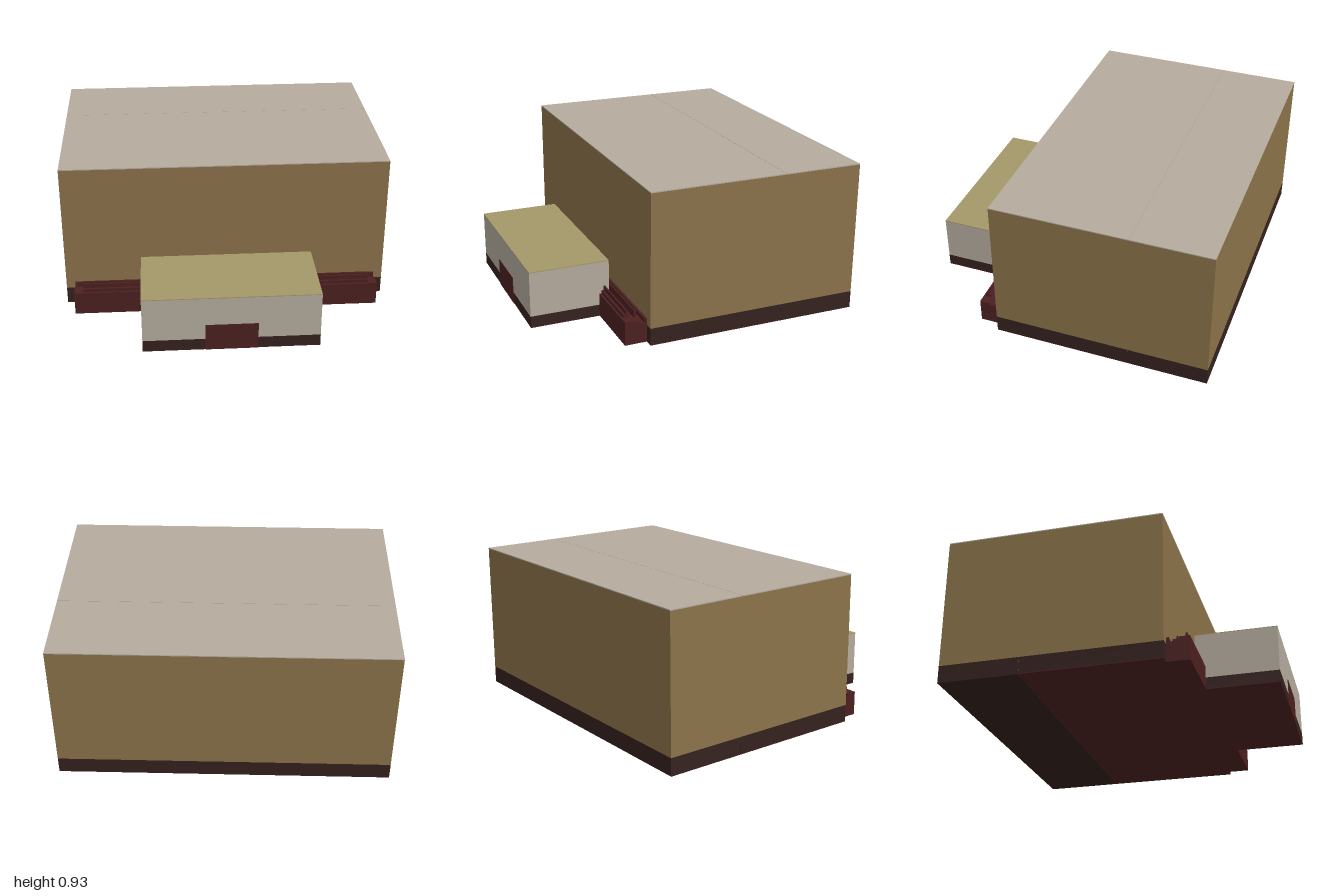
import * as THREE from 'three';

const mat = (name, color) => {
  const m = new THREE.MeshStandardMaterial({ color });
  m.name = name;
  return m;
};

export function createModel() {
  const model = new THREE.Group();
  model.name = 'building';
  const tan = mat('tan wall', 0x8c734a);
  const grey = mat('warm grey', 0xb5ac9e);
  const olive = mat('olive roof', 0xa4976a);
  const dark = mat('dark plinth', 0x35221f);
  const maroon = mat('maroon', 0x4d2021);

  // Box given by its extents on each axis
  const box = (name, m, [x0, x1], [y0, y1], [z0, z1], parent = model) => {
    const mesh = new THREE.Mesh(new THREE.BoxGeometry(x1 - x0, y1 - y0, z1 - z0), m);
    mesh.position.set((x0 + x1) / 2, (y0 + y1) / 2, (z0 + z1) / 2);
    mesh.name = name;
    parent.add(mesh);
  };

  // Main hall: two bays meeting at a hairline seam
  const hall = new THREE.Group();
  hall.name = 'mainHall';
  model.add(hall);
  box('hallWalls', tan, [-1, 1], [0.107, 0.922], [-0.95, 0.38], hall);
  box('hallCore', tan, [-0.997, 0.997], [0.01, 0.107], [-0.5, -0.42], hall);
  const bays = [['rear', -0.95, -0.461, dark], ['front', -0.459, 0.38, maroon]];
  for (const [name, z0, z1, floor] of bays) {
    box(name + 'Plinth', dark, [-1, 1], [0.004, 0.107], [z0, z1], hall);
    box(name + 'Floor', floor, [-1, 1], [0, 0.004], [z0, z1], hall);
    box(name + 'Roof', grey, [-1, 1], [0.922, 0.928], [z0, z1], hall);
  }

  // Entrance block
  const entrance = new THREE.Group();
  entrance.name = 'entranceBlock';
  model.add(entrance);
  const ex = [-0.527, 0.527];
  const ez = [0.453, 0.947];
  box('entranceFloor', maroon, ex, [0, 0.004], ez, entrance);
  box('entrancePlinth', dark, ex, [0.004, 0.074], ez, entrance);
  box('entranceWalls', grey, ex, [0.074, 0.351], ez, entrance);
  box('entranceRoof', olive, ex, [0.351, 0.356], ez, entrance);
  for (const [x0, x1] of [[-0.157, -0.07], [-0.07, 0.07], [0.07, 0.157]])
    box('doorPanel', maroon, [x0, x1], [0, 0.171], [0.947, 0.95], entrance);

  // Stepped terrace between the blocks: half length, top, z range of each tier
  const terrace = new THREE.Group();
  terrace.name = 'terrace';
  model.add(terrace);
  const backTiers = [
    [0.945, 0.122, 0.38, 0.453],
    [0.945, 0.15, 0.38, 0.395],
    [0.945, 0.135, 0.415, 0.453],
    [0.89, 0.18, 0.426, 0.436],
  ];
  const frontTiers = [
    [0.945, 0.147, 0.453, 0.515],
    [0.89, 0.168, 0.468, 0.503],
    [0.89, 0.195, 0.479, 0.489],
  ];
  for (const s of [-1, 1]) {
    const span = (a, b) => (s > 0 ? [a, b] : [-b, -a]);
    for (const [x, y, z0, z1] of backTiers)
      box('backTier', maroon, span(0.07, x), [0, y], [z0, z1], terrace);
    for (const [x, y, z0, z1] of frontTiers)
      box('frontTier', maroon, span(0.527, x), [0, y], [z0, z1], terrace);
  }
  // Flat link between the two halves
  box('passage', maroon, [-0.07, 0.07], [0, 0.15], [0.38, 0.453], terrace);

  return model;
}
